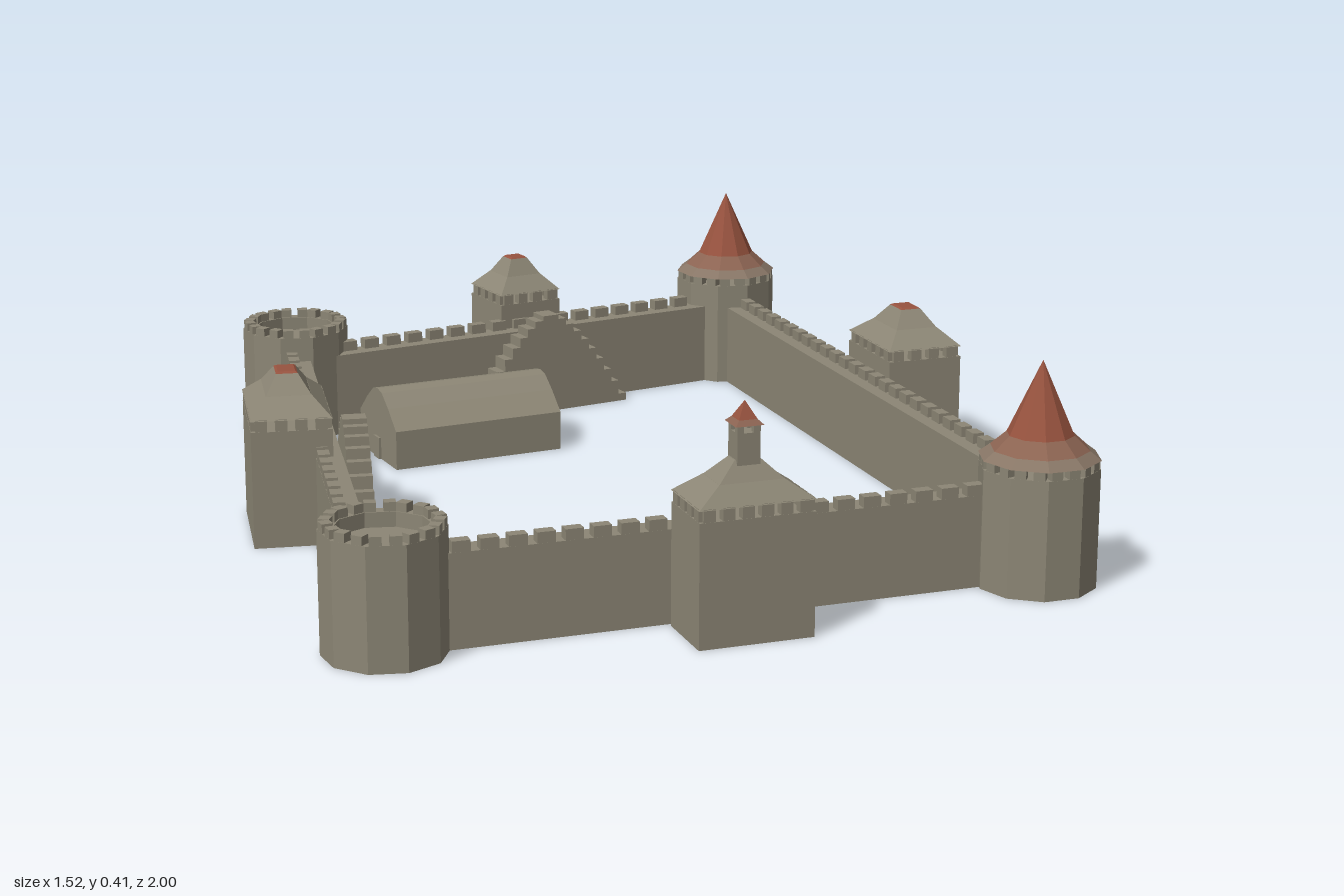
import * as THREE from 'three';

const mat = (color) => new THREE.MeshStandardMaterial({ color, flatShading: true });
const stone = mat(0x8c8675);
const tileLow = mat(0x887666);
const tileMid = mat(0x8c6452);
const tile = mat(0x97533f);

function add(parent, name, geo, material, x = 0, y = 0, z = 0) {
  const m = new THREE.Mesh(geo, material);
  m.name = name;
  m.position.set(x, y, z);
  parent.add(m);
  return m;
}

function group(parent, name, x = 0, z = 0, rotY = 0) {
  const g = new THREE.Group();
  g.name = name;
  g.position.set(x, 0, z);
  g.rotation.y = rotY;
  parent.add(g);
  return g;
}

// box standing on height y0
function block(parent, name, w, h, d, x, y0, z, material = stone) {
  return add(parent, name, new THREE.BoxGeometry(w, h, d), material, x, y0 + h / 2, z);
}

// four-sided tapered block, w x d at the bottom, scaled by top at the top
function taper(parent, name, w, d, s0, s1, y0, y1, material) {
  const g = new THREE.CylinderGeometry(s1 * Math.SQRT1_2, s0 * Math.SQRT1_2, y1 - y0, 4);
  g.rotateY(Math.PI / 4);
  g.scale(w, 1, d);
  return add(parent, name, g, material, 0, (y0 + y1) / 2, 0);
}

// ten-sided corner tower, with or without a pointed roof
function cornerTower(parent, name, x, z, turn, roofed) {
  const R = 0.11, SIDES = 10;
  const g = group(parent, name, x, z, turn + Math.PI / 2);
  const outline = (r) => [...Array(SIDES)].map((_, i) => {
    const a = (i / SIDES) * Math.PI * 2;
    return new THREE.Vector2(r * Math.sin(a), r * Math.cos(a));
  });
  const floor = 0.195, top = 0.222;
  add(g, 'towerBody', new THREE.CylinderGeometry(R, R, floor, SIDES), stone, 0, floor / 2, 0);
  const ring = new THREE.Shape(outline(R));
  ring.holes.push(new THREE.Path(outline(R - 0.024).reverse()));
  const ringGeo = new THREE.ExtrudeGeometry(ring, { depth: top - floor, bevelEnabled: false });
  ringGeo.rotateX(-Math.PI / 2);
  add(g, 'parapet', ringGeo, stone, 0, floor, 0);

  // two merlons on every side
  const apothem = R * Math.cos(Math.PI / SIDES), side = 2 * R * Math.sin(Math.PI / SIDES);
  for (let i = 0; i < SIDES; i++) {
    const s = group(g, 'merlonPair', 0, 0, ((i + 0.5) / SIDES) * Math.PI * 2);
    for (const k of [-1, 1]) block(s, 'merlon', 0.021, 0.018, 0.02, k * side / 4, top - 0.002, apothem - 0.0102);
  }

  if (!roofed) return;
  const profile = [[0.111, 0.238], [0.09, 0.254], [0.061, 0.28], [0, 0.415]];
  [tileLow, tileMid, tile].forEach((m, i) => {
    const [r0, y0] = profile[i], [r1, y1] = profile[i + 1];
    add(g, 'towerRoof', new THREE.CylinderGeometry(r1, r0, y1 - y0, SIDES), m, 0, (y0 + y1) / 2, 0);
  });
}

// wall between two points, local +z is the outer side
function wall(parent, name, [ax, az], [bx, bz]) {
  const L = Math.hypot(bx - ax, bz - az);
  const turn = Math.atan2(-(bz - az), bx - ax);
  const g = group(parent, name, (ax + bx) / 2, (az + bz) / 2, turn);
  block(g, 'wallBody', L, 0.172, 0.05, 0, 0, 0);
  const n = Math.round(L / 0.05);
  for (let i = 0; i < n; i++) {
    block(g, 'merlon', 0.033, 0.022, 0.022, ((i + 0.5) / n - 0.5) * L, 0.17, 0.0138);
  }
  return turn;
}

// rectangular wall tower with a flared hipped roof
function wallTower(parent, name, x, z, turn, w, d, turret) {
  const g = group(parent, name, x, z, turn);
  block(g, 'towerBody', w, 0.225, d, 0, 0, 0);
  const row = (len, off, rot) => {
    const r = group(g, 'merlonRow', 0, 0, rot);
    const n = Math.round(len / 0.038);
    for (let i = 0; i < n; i++) {
      block(r, 'merlon', 0.022, 0.025, 0.018, ((i + 0.5) / n - 0.5) * (len - 0.002), 0.223, off - 0.0095);
    }
  };
  for (const k of [0, 1]) {
    row(w, d / 2, k * Math.PI);
    row(d, w / 2, k * Math.PI + Math.PI / 2);
  }
  const tip = turret ? 0.22 : 0.27;
  taper(g, 'roofEave', w * 1.01, d * 1.01, 1, 0.56, 0.246, 0.279, stone);
  taper(g, 'roofUpper', w, d, 0.56, tip, 0.279, 0.313, stone);
  if (!turret) {
    taper(g, 'roofRidge', w, d, tip, tip * 0.8, 0.313, 0.316, tile);
    return;
  }
  // small lookout on the roof
  block(g, 'lookoutBody', 0.042, 0.06, 0.042, 0, 0.3, 0);
  for (const px of [-1, 1]) for (const pz of [-1, 1]) {
    block(g, 'lookoutPost', 0.012, 0.018, 0.012, px * 0.015, 0.358, pz * 0.015);
  }
  taper(g, 'lookoutEave', 0.052, 0.052, 1, 0.65, 0.373, 0.382, tileMid);
  taper(g, 'lookoutRoof', 0.052, 0.052, 0.65, 0.01, 0.382, 0.412, tile);
}

// double stair climbing from both ends to an arched crown
function stairs(parent, name, x, z, turn) {
  const g = group(parent, name, x, z, turn);
  const half = 0.188, n = 20;
  const shape = new THREE.Shape();
  shape.moveTo(-half, 0);
  for (let i = 0; i < n; i++) {
    const u = Math.abs((i + 0.5) / n * 2 - 1);
    const h = 0.217 * (1 - Math.pow(u, 1.5));
    shape.lineTo(-half + (i / n) * 2 * half, h);
    shape.lineTo(-half + ((i + 1) / n) * 2 * half, h);
  }
  shape.lineTo(half, 0);
  const geo = new THREE.ExtrudeGeometry(shape, { depth: 0.046, bevelEnabled: false });
  add(g, 'steps', geo, stone, 0, 0, -0.023);
}

// long hall with a rounded gable roof
function hall(parent) {
  const g = group(parent, 'hall', -0.31, -0.336, 0.31);
  const d = 0.1035;
  const pts = [[-d, 0], [d, 0], [d, 0.08], [0.06, 0.118], [0.025, 0.143], [0, 0.148], [-0.025, 0.143], [-0.06, 0.118], [-d, 0.08]];
  const shape = new THREE.Shape(pts.map(([a, b]) => new THREE.Vector2(a, b)));
  const geo = new THREE.ExtrudeGeometry(shape, { depth: 0.366, bevelEnabled: false });
  geo.translate(0, 0, -0.183);
  geo.rotateY(Math.PI / 2);
  add(g, 'hallBody', geo, stone);
  block(g, 'hallDoor', 0.008, 0.045, 0.03, -0.184, 0, 0);
}

export function createModel() {
  const root = new THREE.Group();
  root.name = 'castle';

  cornerTower(root, 'backLeftTower', 0.342, -0.893, 0, true);
  cornerTower(root, 'backRightTower', -0.644, -0.533, 0, false);
  cornerTower(root, 'frontRightTower', -0.532, 0.893, 0, false);
  cornerTower(root, 'frontLeftTower', 0.65, 0.681, 0.2, true);

  const front = wall(root, 'frontWall', [-0.48, 0.885], [0.6, 0.655]);
  const left = wall(root, 'leftWall', [0.66, 0.62], [0.345, -0.84]);
  const back = wall(root, 'backWall', [0.3, -0.842], [-0.6, -0.475]);
  const right = wall(root, 'rightWall', [-0.645, -0.5], [-0.57, 0.86]);

  wallTower(root, 'frontGateTower', 0.082, 0.869, front, 0.212, 0.135, true);
  wallTower(root, 'leftWallTower', 0.596, -0.17, left, 0.202, 0.158, false);
  wallTower(root, 'backWallTower', -0.154, -0.747, back, 0.144, 0.144, false);
  wallTower(root, 'rightWallTower', -0.676, 0.178, right, 0.238, 0.152, false);

  stairs(root, 'frontStairs', 0.066, 0.718, front);
  stairs(root, 'backStairs', -0.1, -0.614, back);
  stairs(root, 'rightStairs', -0.55, 0.172, right);

  hall(root);
  return root;
}
